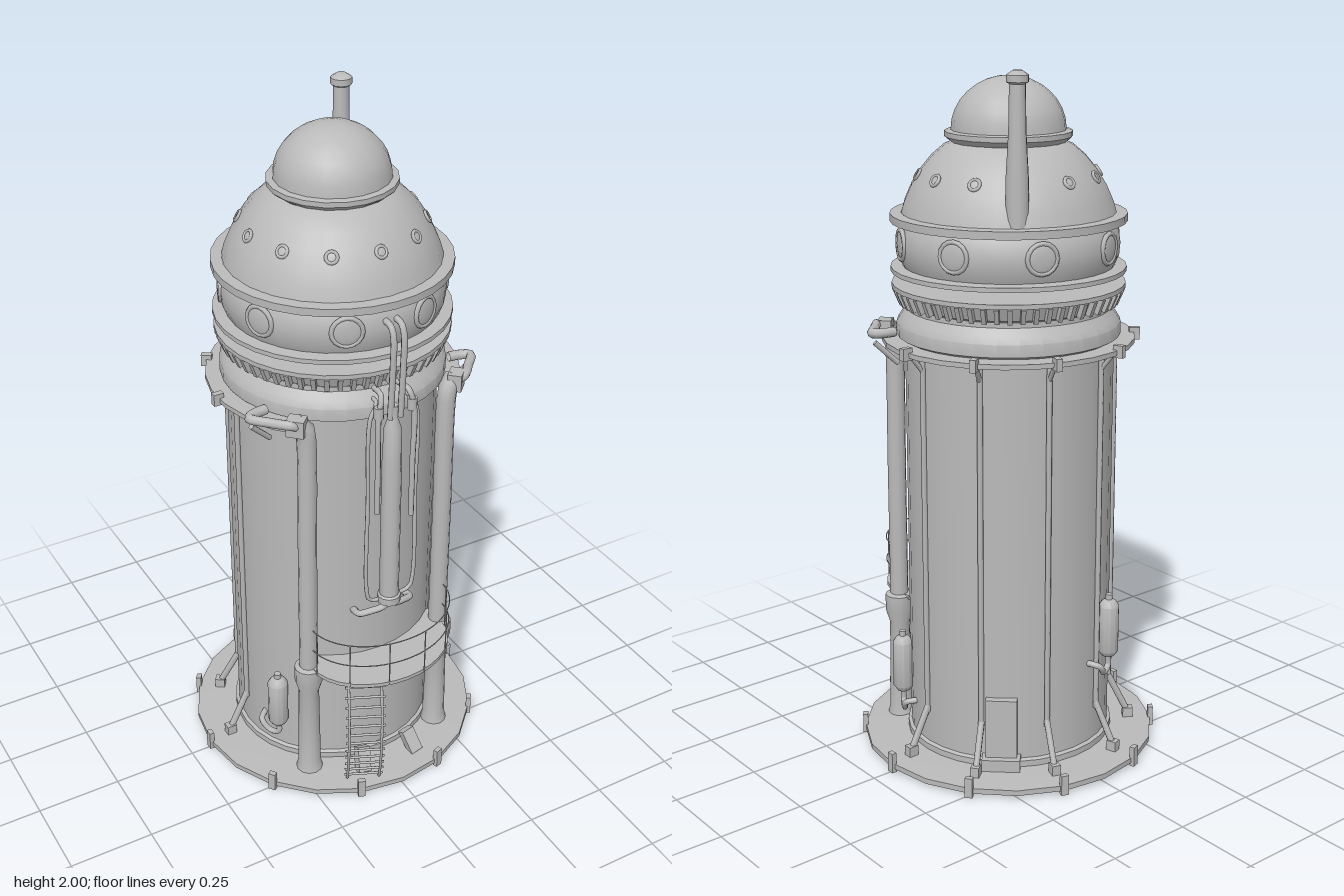
import * as THREE from 'three';
import { toCreasedNormals } from 'three/addons/utils/BufferGeometryUtils.js';

const metal = new THREE.MeshStandardMaterial({ color: 0xbababa, side: THREE.DoubleSide });
metal.name = 'light grey metal';
const V = (x, y, z) => new THREE.Vector3(x, y, z);
const rad = THREE.MathUtils.degToRad;

export function createModel() {
  const model = new THREE.Group();
  model.name = 'tankTower';

  const add = (name, geo, pos = [0, 0, 0]) => {
    const m = new THREE.Mesh(geo, metal);
    m.name = name;
    m.position.set(...pos);
    model.add(m);
    return m;
  };
  // Turned part from [radius, height] pairs, bottom to top
  const turned = (name, pts, seg = 20, pos, start = 0, len = Math.PI * 2) => {
    const g = new THREE.LatheGeometry(pts.map(p => new THREE.Vector2(...p)), seg, start, len);
    return add(name, toCreasedNormals(g, 0.6), pos);
  };
  const tube = (name, pts, r, seg = 24, sides = 8) =>
    add(name, new THREE.TubeGeometry(
      new THREE.CatmullRomCurve3(pts.map(p => V(...p)), false, 'centripetal'), seg, r, sides));
  // Straight rod between two points
  const rod = (name, a, b, r, sides = 6) => {
    const p = V(...a), q = V(...b);
    const m = add(name, new THREE.CylinderGeometry(r, r, p.distanceTo(q), sides));
    m.position.copy(p).add(q).multiplyScalar(0.5);
    m.quaternion.setFromUnitVectors(V(0, 1, 0), q.sub(p).normalize());
    return m;
  };
  // Box whose local x axis points outward at angle a (from +x towards +z)
  const radialBox = (name, a, r, y, size, tilt = 0) => {
    const m = add(name, new THREE.BoxGeometry(...size), [r * Math.cos(a), y, r * Math.sin(a)]);
    m.rotation.set(0, -a, tilt);
    return m;
  };
  const polar = (a, r, y) => [r * Math.cos(a), y, r * Math.sin(a)];

  // Ground plate with rim pegs
  turned('basePlate', [[0, 0.01], [0.435, 0.01], [0.435, 0.026], [0.32, 0.032], [0, 0.032]], 20);
  for (let i = 0; i < 10; i++)
    radialBox('rimPeg', rad(36 * i), 0.435, 0.03, [0.015, 0.06, 0.022]);

  // Main tank, slightly flattened at the front
  const tank = turned('tankBody', [[0.31, 0.03], [0.31, 0.05], [0.3, 0.055], [0.3, 1.24]], 32);
  const tp = tank.geometry.attributes.position;
  for (let i = 0; i < tp.count; i++) if (tp.getZ(i) > 0) tp.setZ(i, tp.getZ(i) * 0.95);

  // Gallery ring, open at the front, and the neck above it
  turned('galleryRing', [[0.28, 1.228], [0.36, 1.228], [0.36, 1.242], [0.28, 1.242], [0.28, 1.228]],
    20, undefined, rad(42), rad(276));
  turned('neck', [[0.3, 1.24], [0.318, 1.25], [0.318, 1.285], [0.305, 1.305], [0.29, 1.325],
    [0.29, 1.34]], 32);

  // Slatted collar
  turned('collar', [[0.28, 1.335], [0.297, 1.345], [0.312, 1.38], [0.33, 1.384], [0.33, 1.397],
    [0, 1.397]], 32);
  for (let i = 0; i < 56; i++)
    radialBox('collarSlat', Math.PI * 2 * i / 56, 0.313, 1.363, [0.016, 0.046, 0.013], -0.4);

  // Drum above the open slot
  turned('drum', [[0, 1.43], [0.332, 1.43], [0.332, 1.443], [0.298, 1.446], [0.31, 1.475],
    [0.313, 1.51], [0.308, 1.545], [0.298, 1.565], [0.332, 1.57], [0.332, 1.592], [0.3, 1.594]], 32);
  const porthole = (name, pos, normal, r, t) => {
    const ring = add(name, new THREE.TorusGeometry(r, t, 6, 16), pos);
    ring.lookAt(V(...pos).add(normal));
    const glass = add(name + 'Glass', new THREE.SphereGeometry(r, 14, 8), pos);
    glass.lookAt(V(...pos).add(normal));
    glass.scale.z = 0.2;
  };
  for (let i = 0; i < 8; i++) {
    const a = rad(22.5 + 45 * i);
    porthole('drumPorthole', polar(a, 0.309, 1.513), V(Math.cos(a), 0, Math.sin(a)), 0.041, 0.007);
  }

  // Lower dome with small ports, then the cap dome
  turned('lowerDome', [[0.302, 1.59], [0.292, 1.625], [0.272, 1.67], [0.245, 1.712], [0.215, 1.748],
    [0.18, 1.778], [0.15, 1.79]], 24);
  for (let i = 0; i < 12; i++) {
    const a = rad(30 * i);
    if (i === 10) continue; // place of the chimney
    porthole('domePort', polar(a, 0.254, 1.7), V(Math.cos(a), 0.6, Math.sin(a)), 0.015, 0.005);
  }
  const cap = [[0.15, 1.78], [0.172, 1.796], [0.178, 1.802], [0.178, 1.816], [0.16, 1.819]];
  for (let i = 1; i <= 8; i++) {
    const t = i / 8 * Math.PI / 2;
    cap.push([Math.max(0, 0.16 * Math.cos(t)), 1.819 + 0.146 * Math.sin(t)]);
  }
  turned('capDome', cap, 20);

  // Chimney
  turned('chimney', [[0.031, 1.58], [0.031, 1.72], [0.024, 1.84], [0.022, 1.965], [0.03, 1.97],
    [0.03, 1.988], [0.012, 2], [0, 2]], 12, [0.155, 0, -0.225]);

  // Ribs with splayed feet and gallery brackets
  for (const deg of [0, 36, 72, 108, 144, 180]) {
    const a = -rad(deg);
    rod('rib', polar(a, 0.305, 0.15), polar(a, 0.305, 1.24), 0.008);
    rod('ribFoot', polar(a, 0.303, 0.17), polar(a, 0.37, 0.035), 0.01);
    radialBox('ribShoe', a, 0.365, 0.045, [0.03, 0.03, 0.025]);
    rod('bracket', polar(a, 0.305, 1.18), polar(a, 0.345, 1.232), 0.007);
    radialBox('galleryPeg', a, 0.36, 1.238, [0.03, 0.035, 0.018]);
  }

  // Mirrored front columns, canisters and small front feet
  for (const s of [-1, 1]) {
    turned('columnBase', [[0.04, 0.03], [0.034, 0.06], [0.03, 0.33], [0.042, 0.37], [0.042, 0.42],
      [0.028, 0.425]], 12, [s * 0.222, 0, 0.25]);
    tube('columnPipe', [[s * 0.222, 0.42, 0.25], [s * 0.222, 0.8, 0.25], [s * 0.222, 1.2, 0.25],
      [s * 0.227, 1.235, 0.25], [s * 0.25, 1.255, 0.24]], 0.027, 24, 12);
    tube('columnElbow', [[s * 0.235, 1.245, 0.25], [s * 0.27, 1.262, 0.26], [s * 0.31, 1.262, 0.22],
      [s * 0.35, 1.262, 0.17], [s * 0.325, 1.262, 0.155], [s * 0.29, 1.262, 0.15]], 0.014);
    radialBox('elbowClamp', s > 0 ? rad(45) : rad(135), 0.355, 1.25, [0.04, 0.05, 0.05]);
    rod('elbowBracket', [s * 0.28, 1.17, 0.15], [s * 0.345, 1.235, 0.17], 0.008);
    const foot = add('frontFoot', new THREE.BoxGeometry(0.04, 0.075, 0.03), [s * 0.085, 0.06, 0.335]);
    foot.rotation.set(-0.5, 0, s * 0.2);
  }
  const canister = (x, y, z) => {
    turned('canister', [[0, -0.09], [0.02, -0.085], [0.03, -0.07], [0.03, 0.07], [0.02, 0.085],
      [0.01, 0.09], [0.01, 0.105], [0, 0.105]], 12, [x, y, z]);
    const r = Math.hypot(x, z), c = x / r, d = z / r, k = Math.sign(x) || 1;
    tube('canisterPipe', [[x, y - 0.08, z], [x, y - 0.12, z], [x + k * d * 0.03, y - 0.13, z - k * c * 0.03],
      [x + k * d * 0.06, y - 0.1, z - k * c * 0.06], [x + k * d * 0.07 - c * 0.06, y - 0.09, z - k * c * 0.07 - d * 0.06]],
    0.009);
    for (const h of [-0.05, 0.05])
      rod('canisterStrap', [x, y + h, z], [x - c * 0.05, y + h, z - d * 0.05], 0.012);
  };
  canister(0.278, 0.24, 0.158);
  canister(-0.278, 0.24, 0.158);
  canister(-0.135, 0.395, -0.295);

  // Rear hatch box
  radialBox('rearHatch', -rad(47), 0.305, 0.14, [0.03, 0.21, 0.09]);
  radialBox('rearHatchSill', -rad(47), 0.31, 0.05, [0.06, 0.035, 0.11]);

  // Balcony: curved deck with wire railing
  const edge = t => [0.222 * Math.cos(t), 0.27 + 0.172 * Math.sin(t)];
  const deck = new THREE.Shape();
  deck.moveTo(-0.222, 0.2).lineTo(0.222, 0.2);
  for (let i = 0; i <= 16; i++) deck.lineTo(...edge(Math.PI * i / 16));
  const deckGeo = new THREE.ExtrudeGeometry(deck, { depth: 0.012, bevelEnabled: false });
  deckGeo.rotateX(Math.PI / 2);
  add('balconyDeck', deckGeo, [0, 0.427, 0]);
  for (const y of [0.495, 0.567]) {
    const pts = [];
    for (let i = 0; i <= 16; i++) {
      const [x, z] = edge(Math.PI * i / 16);
      pts.push([x, y, z]);
    }
    tube('handRail', pts, 0.0018, 32, 5);
  }
  for (const t of [0.15, 0.75, 1.3, 1.84, 2.39, 2.99]) {
    const [x, z] = edge(t);
    rod('railPost', [x, 0.42, z], [x, 0.568, z], 0.0018);
  }

  // Bowed ladder, set at an angle to the balcony edge
  const side = [0.91, 0.41];
  const ladderPoint = (k, w) => {
    const out = -0.03 + 0.055 * Math.sin(Math.PI * (0.12 + 0.82 * k)) - 0.03 * (1 - k);
    return [-0.125 + side[0] * w - side[1] * out, 0.035 + 0.385 * k, 0.415 + side[1] * w + side[0] * out];
  };
  for (const w of [-0.048, 0.048])
    tube('ladderRail', [0, 0.2, 0.4, 0.6, 0.8, 1].map(k => ladderPoint(k, w)), 0.0045, 24, 6);
  for (let i = 0; i < 12; i++) {
    const k = (i + 0.6) / 12;
    rod('ladderRung', ladderPoint(k, -0.058), ladderPoint(k, 0.058), 0.004);
  }

  // Front pipework: central cylinder with collars and side lines
  turned('frontCylinder', [[0, 0.635], [0.034, 0.64], [0.034, 0.662], [0.028, 0.667], [0.028, 1.1],
    [0.024, 1.22], [0.014, 1.25], [0.014, 1.29], [0, 1.29]], 12, [-0.006, 0, 0.337]);
  for (const s of [-1, 1]) {
    tube('feedPipe', [[s * 0.016, 1.25, 0.34], [s * 0.016, 1.4, 0.348], [s * 0.016, 1.5, 0.348],
      [s * 0.016, 1.525, 0.335], [s * 0.016, 1.53, 0.3]], 0.009);
    tube('sideLine', [[s * 0.045, 1.3, 0.28], [s * 0.05, 1.3, 0.325], [s * 0.072, 1.26, 0.33],
      [s * 0.076, 1, 0.33], [s * 0.076, 0.69, 0.33], [s * 0.065, 0.655, 0.33], [0, 0.65, 0.335]], 0.006, 40);
    tube('shortLine', [[s * 0.035, 1.325, 0.28], [s * 0.042, 1.325, 0.335], [s * 0.055, 1.27, 0.345],
      [s * 0.055, 1.1, 0.345], [s * 0.055, s > 0 ? 0.92 : 0.96, 0.345]], 0.008);
    add('lineValve', new THREE.CylinderGeometry(0.014, 0.014, 0.035, 10), [s * 0.052, 1.28, 0.34]);
    tube('outletPipe', [[0, 0.645, 0.337], [s * 0.02, 0.615, 0.33], [s * 0.055, 0.605, 0.32],
      [s * 0.085, 0.597, 0.305], [s * 0.085, 0.59, 0.27]], 0.01);
  }

  return model;
}
